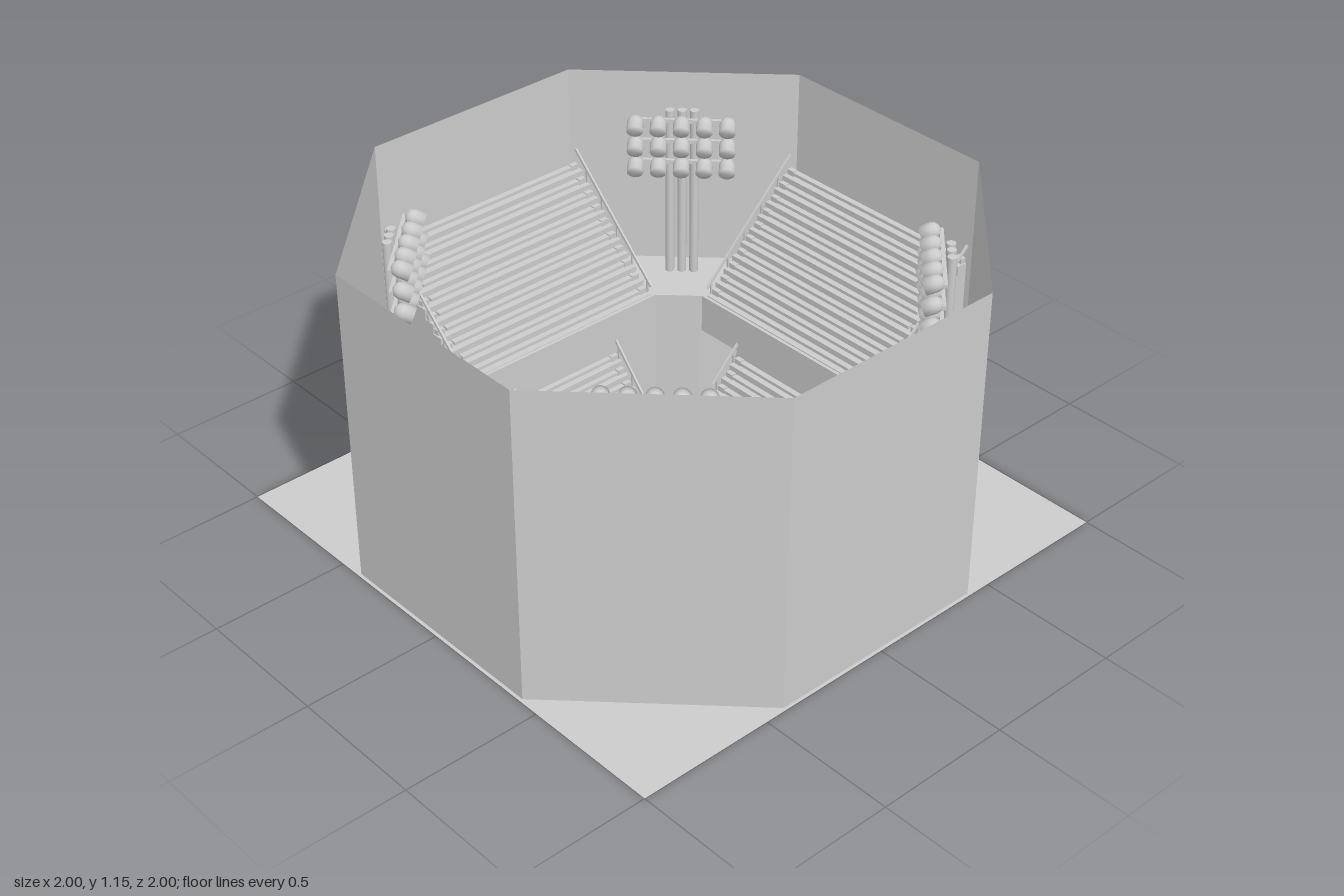
import * as THREE from 'three';

const mat = new THREE.MeshStandardMaterial({ color: 0xcccccc, flatShading: true, side: THREE.DoubleSide });
const smooth = new THREE.MeshStandardMaterial({ color: 0xcccccc, side: THREE.DoubleSide });

function add(parent, name, geometry, x = 0, y = 0, z = 0, material = mat) {
  const mesh = new THREE.Mesh(geometry, material);
  mesh.name = name;
  mesh.position.set(x, y, z);
  parent.add(mesh);
  return mesh;
}

const box = (w, h, d) => new THREE.BoxGeometry(w, h, d);

// Octagon with straight sides at distance a and half-length b
const octagon = (a, b) =>
  [[b, a], [a, b], [a, -b], [b, -a], [-b, -a], [-a, -b], [-a, b], [-b, a]].map(([x, y]) => new THREE.Vector2(x, y));

// Flat ring extruded upward
function ring(outer, inner, height) {
  const shape = new THREE.Shape(outer);
  shape.holes.push(new THREE.Path(inner));
  return new THREE.ExtrudeGeometry(shape, { depth: height, bevelEnabled: false }).rotateX(-Math.PI / 2);
}

// Stepped seating; local +z points outward, rows climb with z
function stand(name, { half, start, rows, run, rise, foot, floor }) {
  const group = new THREE.Group();
  group.name = name;
  const end = start + rows * run;
  const profile = [[start, floor]];
  for (let i = 0; i < rows; i++) {
    profile.push([start + i * run, foot + i * rise], [start + (i + 1) * run, foot + i * rise]);
  }
  profile.push([end, floor]);
  const shape = new THREE.Shape(profile.map(([z, y]) => new THREE.Vector2(-z, y)));
  const steps = new THREE.ExtrudeGeometry(shape, { depth: 2 * half, bevelEnabled: false });
  add(group, 'terraceSteps', steps.rotateY(Math.PI / 2).translate(-half, 0, 0));

  for (let i = 0; i < rows; i++) {
    const y = foot + i * rise;
    const z = start + (i + 0.65) * run;
    add(group, 'bench', box(2 * half - 0.08, 0.012, run * 0.55), 0, y + 0.014, z);
    for (const side of [-1, 1]) {
      add(group, 'aisleStep', box(0.03, rise * 0.5, run * 0.5), side * (half - 0.02), y + rise * 0.25, start + (i + 0.75) * run);
    }
  }

  // Sloping handrails with posts at both ends
  const length = Math.hypot(rows * run, rows * rise);
  for (const side of [-1, 1]) {
    const x = side * half;
    const rail = add(group, 'handrail', box(0.007, 0.01, length), x, foot + rows * rise / 2 + 0.03, (start + end) / 2);
    rail.rotation.x = -Math.atan2(rise, run);
    for (let i = 0; i < rows; i += 2) {
      add(group, 'railPost', box(0.007, 0.05, 0.007), x, foot + i * rise + 0.025, start + (i + 0.5) * run);
    }
  }
  return group;
}

// Floodlight mast; local +z points outward, lamps look inward and down
function lightTower() {
  const tower = new THREE.Group();
  tower.name = 'floodlightTower';
  const lampProfile = [[0, -0.03], [0.029, -0.03], [0.029, 0.008], [0.024, 0.024], [0.013, 0.033], [0, 0.036]];
  const lamp = new THREE.LatheGeometry(lampProfile.map(([x, y]) => new THREE.Vector2(x, y)), 14);
  for (const x of [-0.043, 0, 0.043]) {
    add(tower, 'pole', new THREE.CylinderGeometry(0.016, 0.016, 0.65, 12), x, 0.735, 0.895, smooth);
  }
  for (const y of [0.87, 0.95, 1.03]) {
    add(tower, 'crossBar', box(0.35, 0.014, 0.014), 0, y, 0.87);
    for (let i = -2; i <= 2; i++) {
      add(tower, 'lamp', lamp, i * 0.08, y, 0.833, smooth).rotation.x = Math.PI / 2 - 0.4;
    }
  }
  return tower;
}

// Inclined infill beside a low stand, mirrored by the signs
function cornerRamp(sx, sz) {
  const pts = [[0.53, 0.3, 0.42], [0.39, 0.02, 0.28], [0.39, 0.02, 0.23], [0.53, 0.3, 0.23]];
  const geometry = new THREE.BufferGeometry();
  geometry.setAttribute('position', new THREE.Float32BufferAttribute(pts.flatMap(([x, y, z]) => [x * sx, y, z * sz]), 3));
  // Keep the upper side facing up when mirrored
  geometry.setIndex(sx * sz > 0 ? [0, 2, 1, 0, 3, 2] : [0, 1, 2, 0, 2, 3]);
  geometry.computeVertexNormals();
  return geometry;
}

export function createModel() {
  const model = new THREE.Group();
  model.name = 'stadium';

  // Ground sheet with the square pitch opening
  const square = (s) => [[s, s], [s, -s], [-s, -s], [-s, s]].map(([x, y]) => new THREE.Vector2(x, y));
  const ground = new THREE.Shape(square(1));
  ground.holes.push(new THREE.Path(square(0.35)));
  add(model, 'ground', new THREE.ShapeGeometry(ground).rotateX(-Math.PI / 2));

  // Outer wall: one thin panel per octagon side
  const corners = octagon(0.988, 0.418);
  corners.forEach((p, i) => {
    const q = corners[(i + 1) % 8];
    const panel = new THREE.PlaneGeometry(p.distanceTo(q), 1.155);
    const wall = add(model, 'outerWall', panel, (p.x + q.x) / 2, 0.5775, (p.y + q.y) / 2);
    wall.rotation.y = Math.atan2(p.x + q.x, p.y + q.y);
  });

  // Upper deck and the parapet round its inner edge
  add(model, 'upperDeck', ring(octagon(0.972, 0.42), octagon(0.54, 0.42), 0.02), 0, 0.39, 0);
  add(model, 'innerParapet', ring(octagon(0.545, 0.422), octagon(0.533, 0.417), 0.44));

  // Four sides of seating and four corner towers
  for (let k = 0; k < 4; k++) {
    const upper = stand('upperStand', { half: 0.42, start: 0.56, rows: 10, run: 0.04, rise: 0.039, foot: 0.43, floor: 0.41 });
    const lower = k % 2 === 0
      ? stand('lowerStand', { half: 0.23, start: 0.36, rows: 5, run: 0.035, rise: 0.04, foot: 0.1, floor: 0 })
      : stand('lowerSideStand', { half: 0.23, start: 0.415, rows: 3, run: 0.039, rise: 0.04, foot: 0.18, floor: 0 });
    const tower = lightTower();
    upper.rotation.y = lower.rotation.y = k * Math.PI / 2;
    tower.rotation.y = (k + 0.5) * Math.PI / 2;
    model.add(upper, lower, tower);
  }

  for (const sx of [-1, 1]) {
    for (const sz of [-1, 1]) add(model, 'cornerRamp', cornerRamp(sx, sz));
  }
  return model;
}
